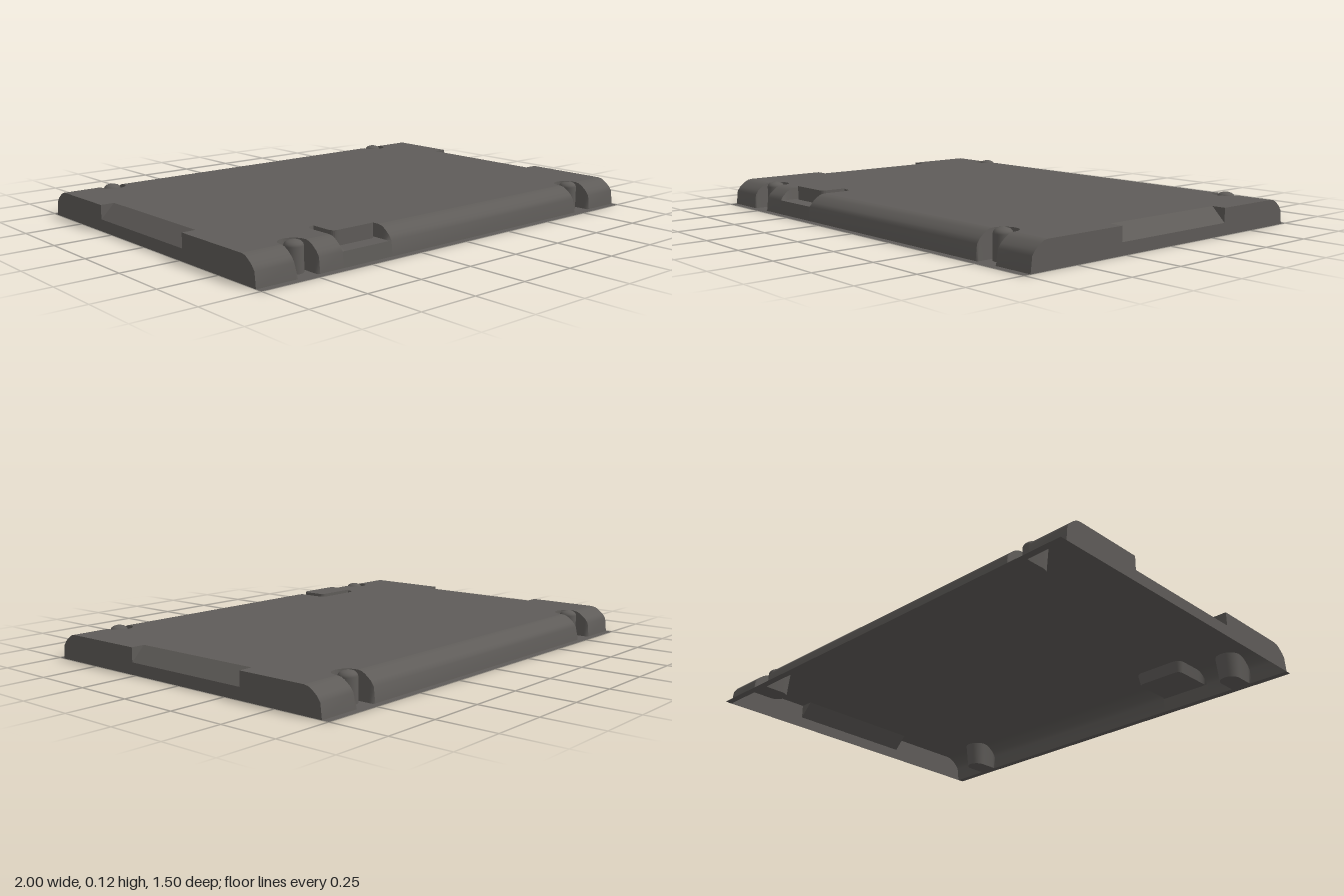
import * as THREE from 'three';

const H = 0.11;          // height of the flat top
const EDGE = 0.64;       // z where the rounded long edge starts
// Rounded long edge as [z, y], from the flat top down to the flange
const PROFILE = [[EDGE, H], [0.658, 0.107], [0.672, 0.1], [0.686, 0.09], [0.7, 0.078], [0.713, 0.06], [0.72, 0]];
const POCKET = { half: 0.055, back: 0.58, r: 0.055, floor: 0, inset: 0.01 };
const RECESS = { half: 0.12, back: 0.5, r: 0.035, floor: 0.06, inset: 0.01 };
const NOTCH = { z0: -0.33, z1: 0.27, x: 0.94, y: 0.05 };

function heightAt(z) {
  if (z <= EDGE) return H;
  for (let i = 1; i < PROFILE.length; i++) {
    const [z0, y0] = PROFILE[i - 1], [z1, y1] = PROFILE[i];
    if (z <= z1) return y0 + (y1 - y0) * (z - z0) / (z1 - z0);
  }
  return 0;
}

// Surface between two polylines of equal length
function ribbon(a, b) {
  const pos = [], index = [];
  a.forEach((p, i) => {
    pos.push(...p, ...b[i]);
    if (i) index.push(2 * i - 2, 2 * i - 1, 2 * i, 2 * i, 2 * i - 1, 2 * i + 1);
  });
  const g = new THREE.BufferGeometry();
  g.setAttribute('position', new THREE.Float32BufferAttribute(pos, 3));
  g.setIndex(index);
  g.computeVertexNormals();
  return g;
}

// U-shaped cut-out in plan, as [x, z], from its left mouth round to its right mouth
function cutPath(cx, cut, inset = 0) {
  const half = cut.half - inset, back = cut.back + inset, r = cut.r - inset;
  const right = [];
  for (let i = 0; i <= 8; i++) {
    const a = Math.PI / 2 * (1 - i / 8);
    right.push([half - r + r * Math.cos(a), back + r - r * Math.sin(a)]);
  }
  PROFILE.filter(p => p[1] >= cut.floor).forEach(p => right.push([half, p[0]]));
  const left = right.map(([x, z]) => [-x, z]).reverse();
  return [...left, ...right].map(([x, z]) => [cx + x, z]);
}

export function createModel() {
  const model = new THREE.Group();
  const grey = new THREE.MeshStandardMaterial({ color: 0x5f5c59, side: THREE.DoubleSide });
  grey.name = 'warm dark grey';
  const add = (name, geometry) => {
    const mesh = new THREE.Mesh(geometry, grey);
    mesh.name = name;
    model.add(mesh);
    return mesh;
  };

  const cuts = {
    1: [[-0.775, POCKET], [-0.49, RECESS], [0.775, POCKET]],
    [-1]: [[-0.775, POCKET], [0.775, POCKET]],
  };

  // Flat top with cut-outs on the long edges and notches on the short ones
  const edgeLine = s => [[-1, EDGE], ...cuts[s].flatMap(([cx, cut]) =>
    cutPath(cx, cut).filter(p => p[1] <= EDGE)), [1, EDGE]].map(([x, z]) => [x, s * z]);
  const { z0, z1 } = NOTCH;
  const outline = [
    ...edgeLine(1),
    [1, z1], [NOTCH.x, z1], [NOTCH.x, z0], [1, z0],
    ...edgeLine(-1).reverse(),
    [-1, z0], [-NOTCH.x, z0], [-NOTCH.x, z1], [-1, z1],
  ];
  const topShape = new THREE.Shape(outline.map(([x, z]) => new THREE.Vector2(x, -z)));
  add('topPanel', new THREE.ShapeGeometry(topShape).rotateX(-Math.PI / 2).translate(0, H, 0));

  for (const s of [1, -1]) {
    const side = s > 0 ? 'front' : 'back';
    const strip = (name, x0, x1, profile) => {
      const line = x => profile.map(([z, y]) => [x, y, s * z]);
      add(name, s > 0 ? ribbon(line(x0), line(x1)).scale(1, 1, 1) : ribbon(line(x1), line(x0)));
    };

    // Rounded long edge between the cut-outs, and the thin flange
    let x = -1;
    for (const [cx, cut] of cuts[s]) {
      strip(side + 'Edge', x, cx - cut.half, PROFILE);
      x = cx + cut.half;
    }
    strip(side + 'Edge', x, 1, PROFILE);
    strip(side + 'Flange', -1, 1, [[0.72, 0], [0.75, 0]]);

    // Walls and floors of the cut-outs
    for (const [cx, cut] of cuts[s]) {
      const name = side + (cut === POCKET ? 'Pocket' : 'Recess');
      const rim = cutPath(cx, cut).map(([px, z]) => [px, heightAt(z), s * z]);
      const base = cutPath(cx, cut, cut.inset).map(([px, z]) => [px, cut.floor, s * z]);
      add(name + 'Wall', s > 0 ? ribbon(rim, base) : ribbon(base, rim));
      const n = base.length / 2;
      const leftHalf = base.slice(0, n), rightHalf = base.slice(n).reverse();
      add(name + 'Floor', s > 0 ? ribbon(rightHalf, leftHalf) : ribbon(leftHalf, rightHalf));
      if (cut === RECESS) {
        strip(name + 'Sill', cx - cut.half, cx + cut.half, PROFILE.slice(-2));
      } else {
        // Domed post standing in the pocket
        const post = [[0.037, 0], [0.037, 0.098], [0.034, 0.107], [0.026, 0.114], [0.014, 0.118], [0, 0.12]];
        add(side + 'Post', new THREE.LatheGeometry(post.map(p => new THREE.Vector2(...p)), 20))
          .position.set(cx, 0, s * 0.64);
      }
    }
  }

  // Raised tab with rounded corners in the front recess
  const w = 0.106, d0 = 0.517, d1 = 0.642, r = 0.028;
  const tab = new THREE.Shape();
  tab.moveTo(-w + r, -d1);
  tab.lineTo(w - r, -d1);
  tab.quadraticCurveTo(w, -d1, w, -d1 + r);
  tab.lineTo(w, -d0 - r);
  tab.quadraticCurveTo(w, -d0, w - r, -d0);
  tab.lineTo(-w + r, -d0);
  tab.quadraticCurveTo(-w, -d0, -w, -d0 - r);
  tab.lineTo(-w, -d1 + r);
  tab.quadraticCurveTo(-w, -d1, -w + r, -d1);
  add('tab', new THREE.ExtrudeGeometry(tab, { depth: 0.06, bevelEnabled: false, curveSegments: 6 })
    .rotateX(-Math.PI / 2).translate(-0.49, 0.06, 0));

  // End walls, each with a sloping notch
  const half = PROFILE.map(([z, y]) => [z, y]);
  const endOutline = [
    ...half.map(([z, y]) => [-z, y]).reverse(),
    [z0, H], [z0, NOTCH.y], [z1, NOTCH.y], [z1, H],
    ...half,
  ];
  const endShape = new THREE.Shape(endOutline.map(p => new THREE.Vector2(...p)));
  for (const s of [1, -1]) {
    const side = s > 0 ? 'left' : 'right';
    add(side + 'EndWall', new THREE.ShapeGeometry(endShape).rotateY(-Math.PI / 2).translate(s, 0, 0));
    const upper = [[s * NOTCH.x, H, z0], [s * NOTCH.x, H, z1]];
    const lower = [[s, NOTCH.y, z0], [s, NOTCH.y, z1]];
    add(side + 'NotchSlope', s > 0 ? ribbon(lower, upper) : ribbon(upper, lower));
    for (const z of [z0, z1]) {
      const cheek = new THREE.BufferGeometry().setFromPoints([
        new THREE.Vector3(s * NOTCH.x, H, z), new THREE.Vector3(s, NOTCH.y, z), new THREE.Vector3(s, H, z)]);
      cheek.computeVertexNormals();
      add(side + 'NotchCheek', cheek);
    }
  }
  return model;
}
